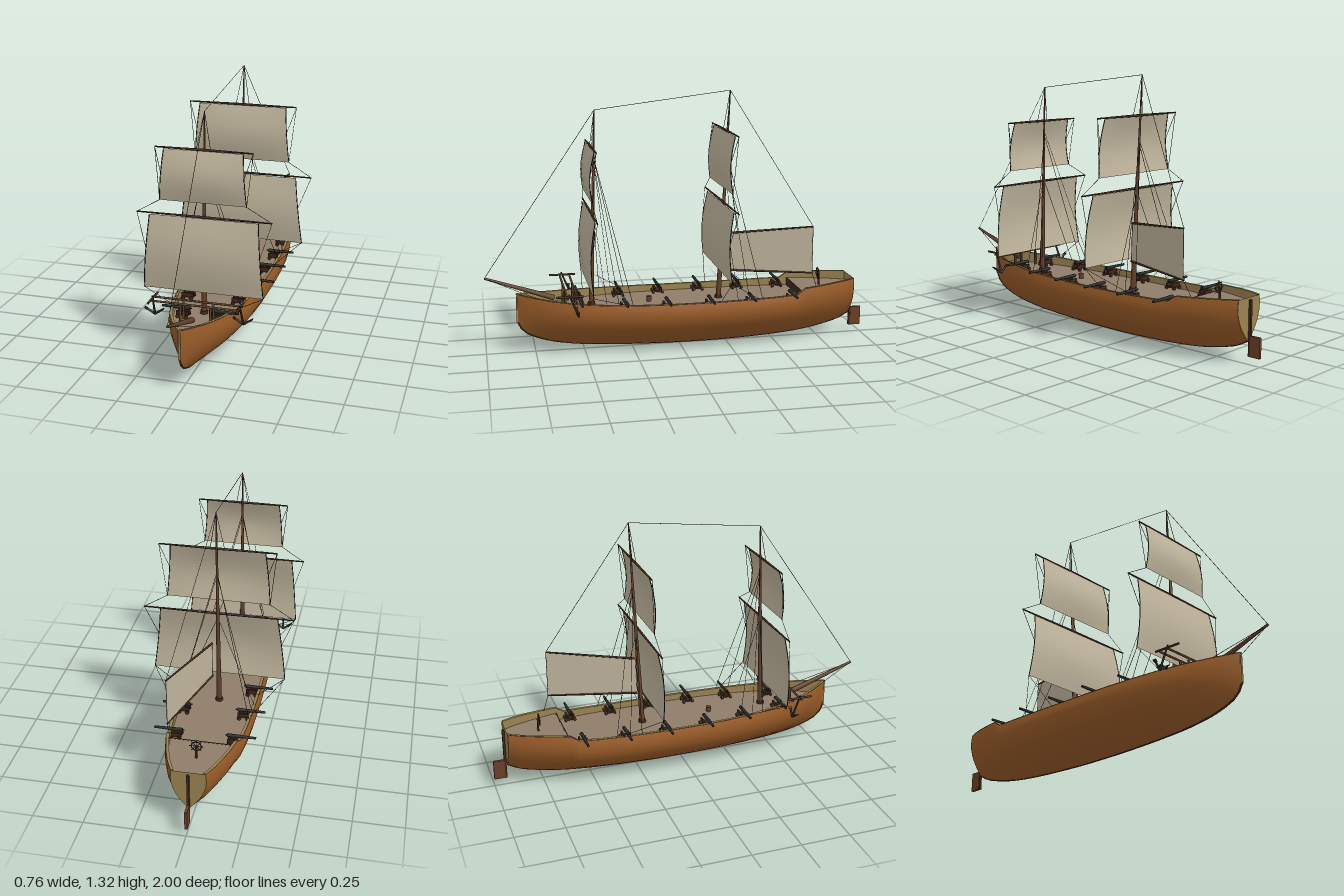
import * as THREE from 'three';

const mat = (name, color, side = THREE.FrontSide) =>
  Object.assign(new THREE.MeshStandardMaterial({ color, side }), { name });
const V = (x, y, z) => new THREE.Vector3(x, y, z);

// hull stations: z, half beam, sheer height, keel height
const STATIONS = [
  [-0.93, 0.085, 0.32, 0.11], [-0.87, 0.115, 0.317, 0.078], [-0.8, 0.14, 0.314, 0.058], [-0.72, 0.163, 0.309, 0.04],
  [-0.635, 0.182, 0.305, 0.027], [-0.59, 0.188, 0.275, 0.022], [-0.48, 0.2, 0.271, 0.013], [-0.34, 0.207, 0.268, 0.006],
  [-0.15, 0.211, 0.266, 0.001], [0.05, 0.21, 0.266, 0.002], [0.2, 0.204, 0.268, 0.006], [0.35, 0.19, 0.271, 0.013],
  [0.48, 0.168, 0.276, 0.022], [0.58, 0.14, 0.282, 0.034], [0.67, 0.104, 0.289, 0.051], [0.74, 0.068, 0.297, 0.073],
  [0.79, 0.038, 0.303, 0.096], [0.825, 0.015, 0.308, 0.13], [0.84, 0.004, 0.311, 0.165],
];
// section shape: height fraction, width fraction
const SECTION = [[0, 0], [0.04, 0.11], [0.12, 0.28], [0.23, 0.5], [0.36, 0.7], [0.5, 0.86], [0.64, 0.96], [0.78, 1], [0.9, 0.985], [1, 0.95]];

function station(z) {
  let i = 0;
  while (i < STATIONS.length - 2 && STATIONS[i + 1][0] < z) i++;
  const a = STATIONS[i], b = STATIONS[i + 1], t = (z - a[0]) / (b[0] - a[0]);
  return a.map((v, k) => v + (b[k] - v) * t);
}

// joins equal-length rows of points into a smooth surface
function loft(rows) {
  const n = rows[0].length, idx = [];
  for (let i = 0; i < rows.length - 1; i++) for (let j = 0; j < n - 1; j++) {
    const a = i * n + j, b = a + n;
    idx.push(a, a + 1, b, b, a + 1, b + 1);
  }
  const g = new THREE.BufferGeometry();
  g.setAttribute('position', new THREE.Float32BufferAttribute(rows.flat(2), 3));
  g.setIndex(idx);
  g.computeVertexNormals();
  return g;
}

export function createModel() {
  const M = {
    hull: mat('hull planking', 0x9a5c28, THREE.DoubleSide),
    trim: mat('ochre trim', 0x9a8350, THREE.DoubleSide),
    deck: mat('deck planking', 0x8e7d69, THREE.DoubleSide),
    sail: mat('canvas', 0xc0b59d, THREE.DoubleSide),
    mast: mat('mast wood', 0x60402a),
    yard: mat('dark spar wood', 0x42281c),
    rope: mat('rope', 0x2c2620),
    iron: mat('iron', 0x262b29),
    rudder: mat('rudder wood', 0x6b4026),
  };
  const ship = new THREE.Group();
  ship.name = 'sailingShip';
  const add = (name, geo, m, parent = ship) => {
    const mesh = new THREE.Mesh(geo, m);
    mesh.name = name;
    parent.add(mesh);
    return mesh;
  };
  const group = (name, parent = ship) => {
    const g = new THREE.Group();
    g.name = name;
    parent.add(g);
    return g;
  };
  const bar = (name, a, b, r0, r1, m, parent = ship, seg = 8) => {
    const d = b.clone().sub(a);
    const mesh = add(name, new THREE.CylinderGeometry(r1, r0, d.length(), seg), m, parent);
    mesh.position.copy(a).add(b).multiplyScalar(0.5);
    mesh.quaternion.setFromUnitVectors(V(0, 1, 0), d.normalize());
    return mesh;
  };
  const box = (name, w, h, d, x, y, z, m, parent = ship) => {
    const mesh = add(name, new THREE.BoxGeometry(w, h, d), m, parent);
    mesh.position.set(x, y, z);
    return mesh;
  };
  const rigging = group('rigging');
  const rope = (a, b) => bar('rope', a, b, 0.0013, 0.0013, M.rope, rigging, 4);

  // hull shell, one full section per station
  const ring = ([z, w, top, keel]) => {
    const half = SECTION.map(([t, f]) => [f * w, keel + (top - keel) * t, z]);
    return [...half.slice(1).reverse().map(([x, y]) => [-x, y, z]), ...half];
  };
  add('hull', loft(STATIONS.map(ring)), M.hull);
  const stern = new THREE.Shape(ring(STATIONS[0]).map(([x, y]) => new THREE.Vector2(x, y)));
  add('transom', new THREE.ShapeGeometry(stern), M.trim).position.z = -0.931;
  const keelCurve = new THREE.CatmullRomCurve3(STATIONS.map(s => V(0, s[3] + 0.004, s[0])));
  add('keel', new THREE.TubeGeometry(keelCurve, 40, 0.005, 6), M.yard);
  box('stem', 0.011, 0.15, 0.008, 0, 0.237, 0.839, M.trim);

  // rail cap and inner bulwark, on both sides
  const deckY = z => (z < -0.63 ? 0.275 : 0.235);
  const inner = s => Math.max(s[1] * 0.95 - 0.013, 0.001);
  for (const k of [1, -1]) {
    add('railCap', loft(STATIONS.map(s => [[k * (s[1] * 0.95 + 0.002), s[2] + 0.002, s[0]], [k * inner(s), s[2] + 0.002, s[0]]])), M.trim);
    add('bulwark', loft(STATIONS.map(s => [[k * inner(s), s[2] + 0.002, s[0]], [k * inner(s), 0.23, s[0]]])), M.trim);
  }
  // main deck, raised after deck and the step between them
  const deck = (name, list, y) => add(name, loft(list.map(s => [[-inner(s), y, s[0]], [inner(s), y, s[0]]])), M.deck);
  deck('mainDeck', STATIONS.filter(s => s[0] > -0.64), 0.235);
  deck('afterDeck', STATIONS.filter(s => s[0] < -0.63), 0.275);
  box('deckStep', 0.33, 0.042, 0.006, 0, 0.255, -0.633, M.yard);

  // rudder
  box('sternPost', 0.012, 0.27, 0.012, 0, 0.175, -0.94, M.yard);
  box('rudder', 0.014, 0.1, 0.055, 0, 0.09, -0.9725, M.rudder);

  // square sail hung from a yard
  function squareSail(mastZ, [yardY, yardHalf, topY, topHalf, botY, botHalf]) {
    const rig = group('squareRig');
    const yz = mastZ(yardY) + 0.016;
    for (const k of [1, -1]) bar('yard', V(0, yardY, yz), V(k * yardHalf, yardY, yz), 0.0065, 0.0035, M.yard, rig);
    const point = (u, t) => V(u * (topHalf + (botHalf - topHalf) * t), topY + (botY - topY) * t,
      yz + 0.004 + 0.015 * t + Math.sin(Math.PI * t) * (0.017 + 0.01 * (1 - u * u)));
    const rows = [];
    for (let i = 0; i <= 10; i++) {
      rows.push([]);
      for (let j = 0; j <= 10; j++) rows[i].push(point(j / 5 - 1, i / 10).toArray());
    }
    add('squareSail', loft(rows), M.sail, rig);
    for (const k of [1, -1]) {
      const edge = new THREE.CatmullRomCurve3([0, 0.25, 0.5, 0.75, 1].map(t => point(k, t)));
      add('boltRope', new THREE.TubeGeometry(edge, 10, 0.0022, 5), M.rope, rig);
    }
    return { clew: k => point(k, 1), arm: k => V(k * yardHalf, yardY, yz), edge: k => point(k, 0.45) };
  }

  // masts with their sails, shrouds, lifts and sheets
  const MASTS = [
    { name: 'foremast', z0: 0.46, z1: 0.43, top: 1.235, course: [0.728, 0.335, 0.722, 0.27, 0.35, 0.3], topsail: [1.055, 0.24, 1.05, 0.195, 0.8, 0.214] },
    { name: 'mainmast', z0: -0.21, z1: -0.265, top: 1.32, course: [0.755, 0.377, 0.748, 0.295, 0.397, 0.337], topsail: [1.12, 0.287, 1.115, 0.232, 0.83, 0.256] },
  ];
  for (const m of MASTS) {
    const mz = y => m.z0 + (m.z1 - m.z0) * (y - 0.23) / (m.top - 0.23);
    bar(m.name, V(0, 0.23, m.z0), V(0, m.top, m.z1), 0.014, 0.003, M.mast, ship, 12);
    bar('mastCollar', V(0, 0.235, m.z0), V(0, 0.25, m.z0), 0.02, 0.018, M.yard, ship, 12);
    const low = squareSail(mz, m.course), high = squareSail(mz, m.topsail);
    for (const k of [1, -1]) {
      const chain = dz => {
        const s = station(m.z0 + dz);
        return V(k * (s[1] * 0.95 - 0.005), s[2], s[0]);
      };
      rope(V(0, 1.0, mz(1.0)), chain(-0.19));
      rope(V(0, 0.98, mz(0.98)), chain(-0.12));
      rope(V(0, 0.74, mz(0.74)), chain(-0.06));
      rope(low.clew(k), chain(-0.17));
      rope(low.clew(k), chain(0.03));
      rope(low.arm(k), high.clew(k));
      rope(low.arm(k), low.edge(k));
      rope(high.arm(k), high.edge(k));
      rope(high.arm(k), high.clew(k));
      rope(V(0, m.top, m.z1), V(k * 0.035, m.topsail[0], mz(m.topsail[0]) + 0.016));
    }
  }

  // fore-and-aft sail swung to the left, with gaff and boom
  const luff = [V(0.03, 0.39, -0.225), V(0.03, 0.585, -0.232)], leech = [V(0.16, 0.385, -0.67), V(0.16, 0.63, -0.67)];
  add('gaffSail', loft(luff.map((p, i) => [p.toArray(), leech[i].toArray()])), M.sail);
  bar('boom', luff[0], leech[0], 0.006, 0.004, M.yard);
  bar('gaff', luff[1], leech[1], 0.006, 0.004, M.yard);
  rope(luff[0], luff[1]);
  rope(leech[0], leech[1]);
  rope(leech[0], V(0.14, 0.31, -0.7));

  // bowsprit and stays
  const tip = V(0, 0.4, 0.997), foreTop = V(0, 1.235, 0.43), mainTop = V(0, 1.32, -0.265);
  bar('bowsprit', V(0, 0.28, 0.65), tip, 0.015, 0.006, M.mast, ship, 10);
  rope(tip, foreTop);
  rope(foreTop, mainTop);
  rope(mainTop, leech[1]);
  for (const k of [1, -1]) rope(tip, V(k * 0.07, 0.295, 0.73));

  // cannons: z, distance from the centre line
  for (const [z, x] of [[-0.565, 0.145], [-0.345, 0.155], [-0.13, 0.16], [0.09, 0.15], [0.305, 0.13], [0.525, 0.085]])
    for (const k of [1, -1]) {
      const gun = group('cannon');
      gun.position.set(k * x, deckY(z), z);
      gun.rotation.y = k > 0 ? 0 : Math.PI;
      for (const s of [1, -1]) {
        box('carriageCheek', 0.062, 0.022, 0.009, 0, 0.023, s * 0.015, M.yard, gun);
        for (const wx of [-0.021, 0.021]) bar('wheel', V(wx, 0.01, s * 0.02), V(wx, 0.01, s * 0.029), 0.01, 0.01, M.yard, gun, 10);
      }
      box('carriageBed', 0.056, 0.008, 0.034, 0, 0.014, 0, M.yard, gun);
      bar('barrel', V(-0.033, 0.046, 0), V(0.108, 0.046, 0), 0.0095, 0.006, M.iron, gun, 10);
      bar('knob', V(-0.043, 0.046, 0), V(-0.033, 0.046, 0), 0.003, 0.005, M.iron, gun);
    }

  // anchor beams and hanging anchors
  for (const z of [0.55, 0.6]) bar('anchorBeam', V(-0.22, 0.332, z), V(0.22, 0.332, z), 0.0055, 0.0055, M.mast);
  for (const k of [1, -1]) {
    for (const z of [0.55, 0.6]) bar('beamPost', V(k * 0.075, 0.235, z), V(k * 0.075, 0.332, z), 0.006, 0.006, M.mast);
    const anchor = group('anchor'), crown = V(k * 0.222, 0.242, 0.548);
    bar('stock', V(k * 0.216, 0.342, 0.52), V(k * 0.216, 0.342, 0.658), 0.0055, 0.0055, M.yard, anchor);
    bar('shank', V(k * 0.216, 0.355, 0.594), crown, 0.004, 0.006, M.iron, anchor);
    for (const s of [1, -1]) {
      const end = V(k * 0.222 + s * 0.042, 0.272, 0.556);
      bar('arm', crown, end, 0.006, 0.005, M.iron, anchor);
      box('fluke', 0.016, 0.004, 0.018, end.x, end.y, end.z, M.iron, anchor).rotation.z = s * 0.7;
    }
  }

  // steering wheel and capstan
  const helm = group('steeringWheel');
  helm.position.set(0, 0.338, -0.755);
  add('rim', new THREE.TorusGeometry(0.024, 0.003, 6, 20), M.yard, helm);
  for (let i = 0; i < 4; i++) {
    const a = i * Math.PI / 4, p = V(Math.cos(a) * 0.034, Math.sin(a) * 0.034, 0);
    bar('spoke', p.clone().negate(), p, 0.0017, 0.0017, M.yard, helm, 5);
  }
  box('wheelStand', 0.01, 0.065, 0.008, 0, -0.032, -0.006, M.yard, helm);
  bar('capstan', V(0, 0.235, 0.16), V(0, 0.262, 0.16), 0.012, 0.014, M.rudder, ship, 12);
  return ship;
}
